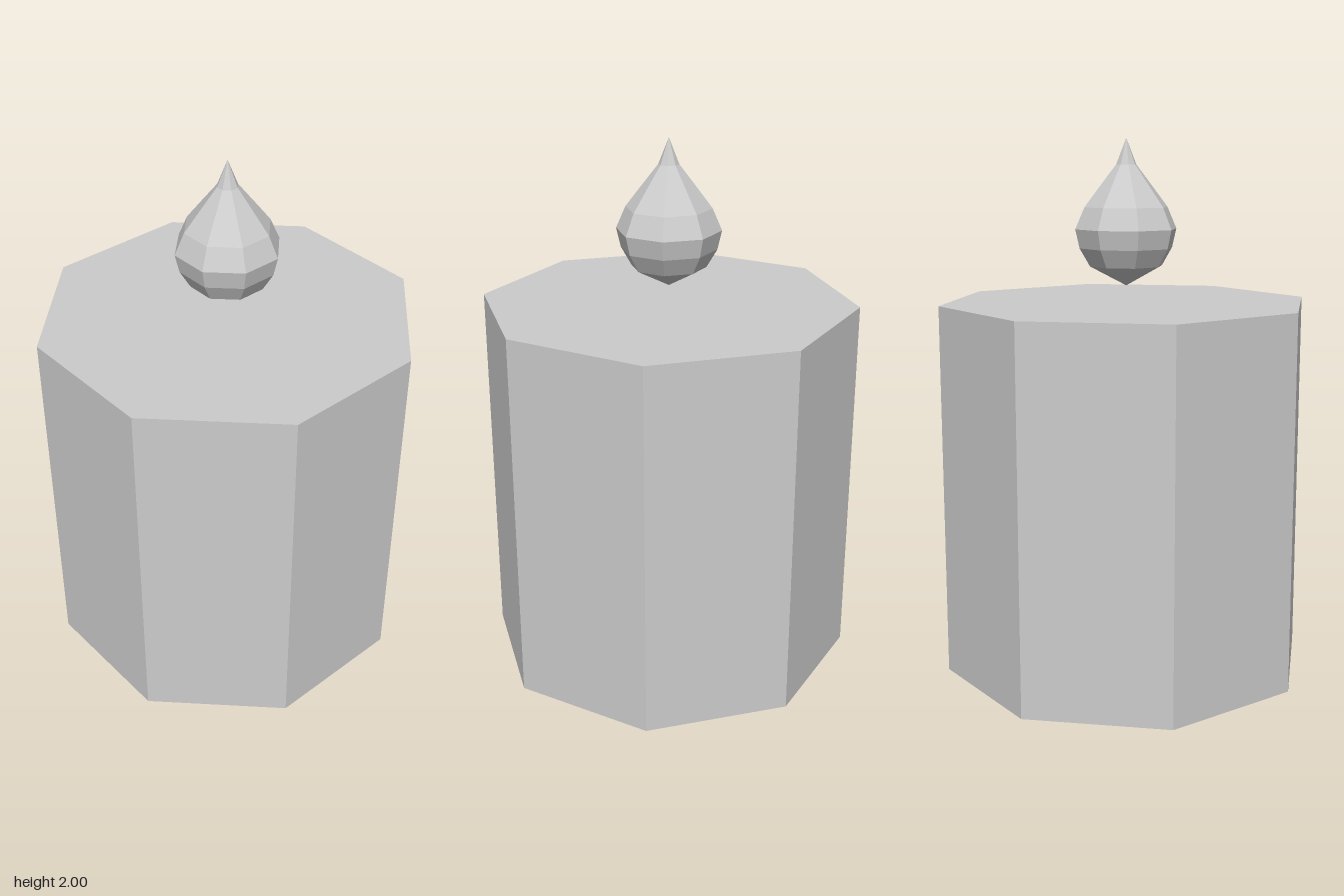
import * as THREE from 'three';

const SIDES = 8;

export function createModel() {
  const group = new THREE.Group();
  const material = new THREE.MeshStandardMaterial({ color: 0xcccccc, flatShading: true });

  // Octagonal wax body standing on the ground
  const body = new THREE.Mesh(new THREE.CylinderGeometry(0.7, 0.7, 1.4, SIDES), material);
  body.name = 'candleBody';
  body.position.y = 0.7;
  group.add(body);

  // Teardrop flame floating above the body: [radius, height]
  const profile = [
    [0, 1.46], [0.138, 1.533], [0.177, 1.6], [0.193, 1.67],
    [0.158, 1.75], [0.098, 1.828], [0.038, 1.905], [0, 2],
  ].map(([r, y]) => new THREE.Vector2(r, y));
  const flame = new THREE.Mesh(new THREE.LatheGeometry(profile, SIDES), material);
  flame.name = 'flame';
  group.add(flame);

  return group;
}
